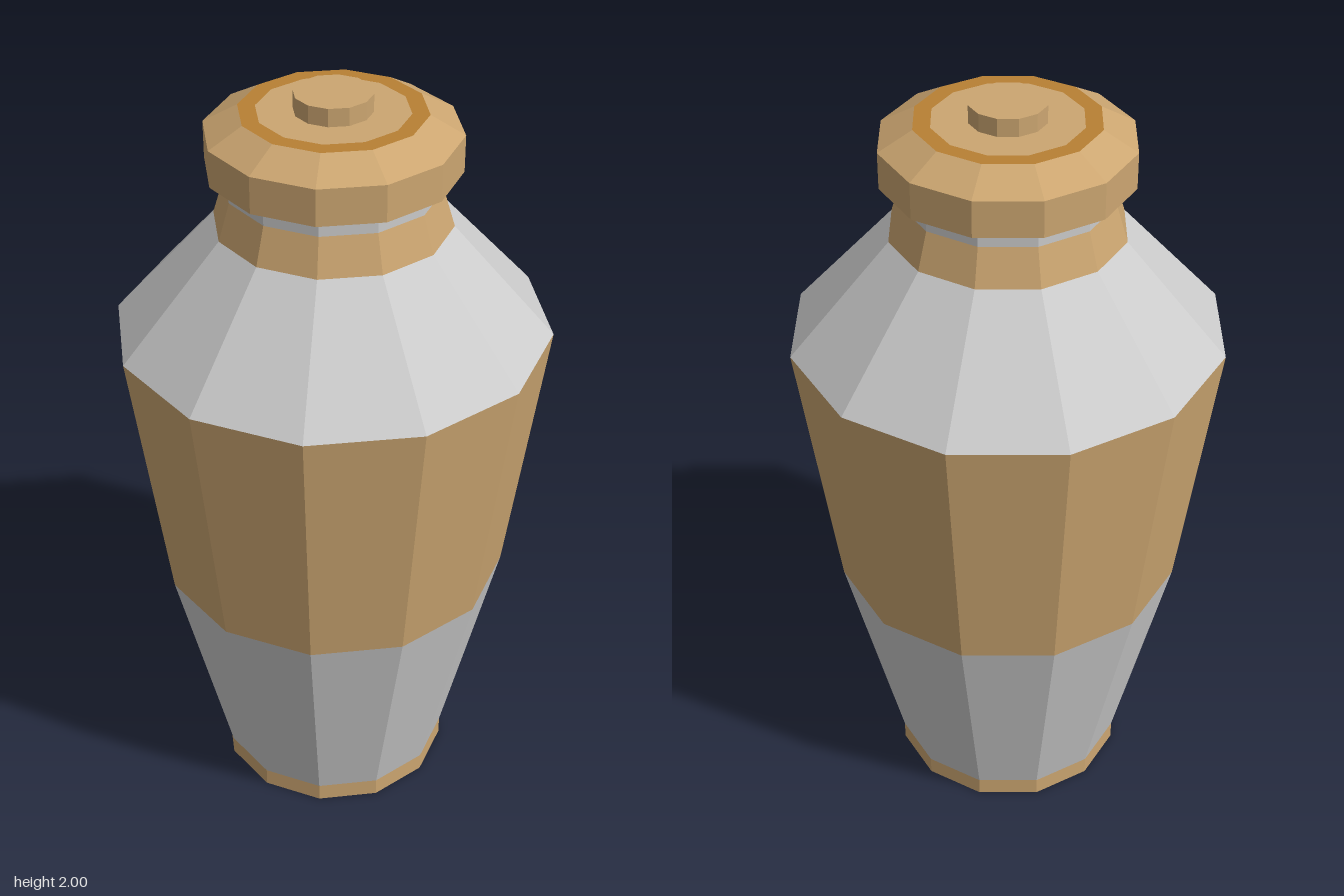
import * as THREE from 'three';

const SIDES = 12;

function material(color) {
  return new THREE.MeshStandardMaterial({ color, flatShading: true });
}

export function createModel() {
  const group = new THREE.Group();
  const grey = material(0xcccccc);
  const tan = material(0xcca671);
  const darkTan = material(0xb88034);

  // Turned section: profile points are [radius, height], running upwards on the outside
  function turned(name, mat, profile) {
    const points = profile.map(([r, y]) => new THREE.Vector2(r, y));
    const mesh = new THREE.Mesh(new THREE.LatheGeometry(points, SIDES), mat);
    mesh.name = name;
    group.add(mesh);
  }

  // Body, from the foot to the neck
  turned('foot', tan, [[0, 0], [0.31, 0], [0.31, 0.05]]);
  turned('lowerBody', grey, [[0.31, 0.05], [0.455, 0.67]]);
  turned('bodyBand', tan, [[0.455, 0.67], [0.548, 1.385]]);
  turned('shoulder', grey, [[0.548, 1.385], [0.293, 1.67]]);
  turned('collar', tan, [[0.293, 1.67], [0.264, 1.765]]);
  turned('neck', grey, [[0.264, 1.765], [0.264, 1.815]]);

  // Lid with bevelled rim, inlaid ring and knob
  turned('lid', tan, [[0, 1.815], [0.31, 1.815], [0.31, 1.908], [0.226, 1.955]]);
  turned('lidRing', darkTan, [[0.226, 1.955], [0.184, 1.955]]);
  turned('lidTop', tan, [[0.184, 1.955], [0, 1.955]]);
  turned('knob', tan, [[0.095, 1.955], [0.095, 2], [0, 2]]);

  return group;
}
